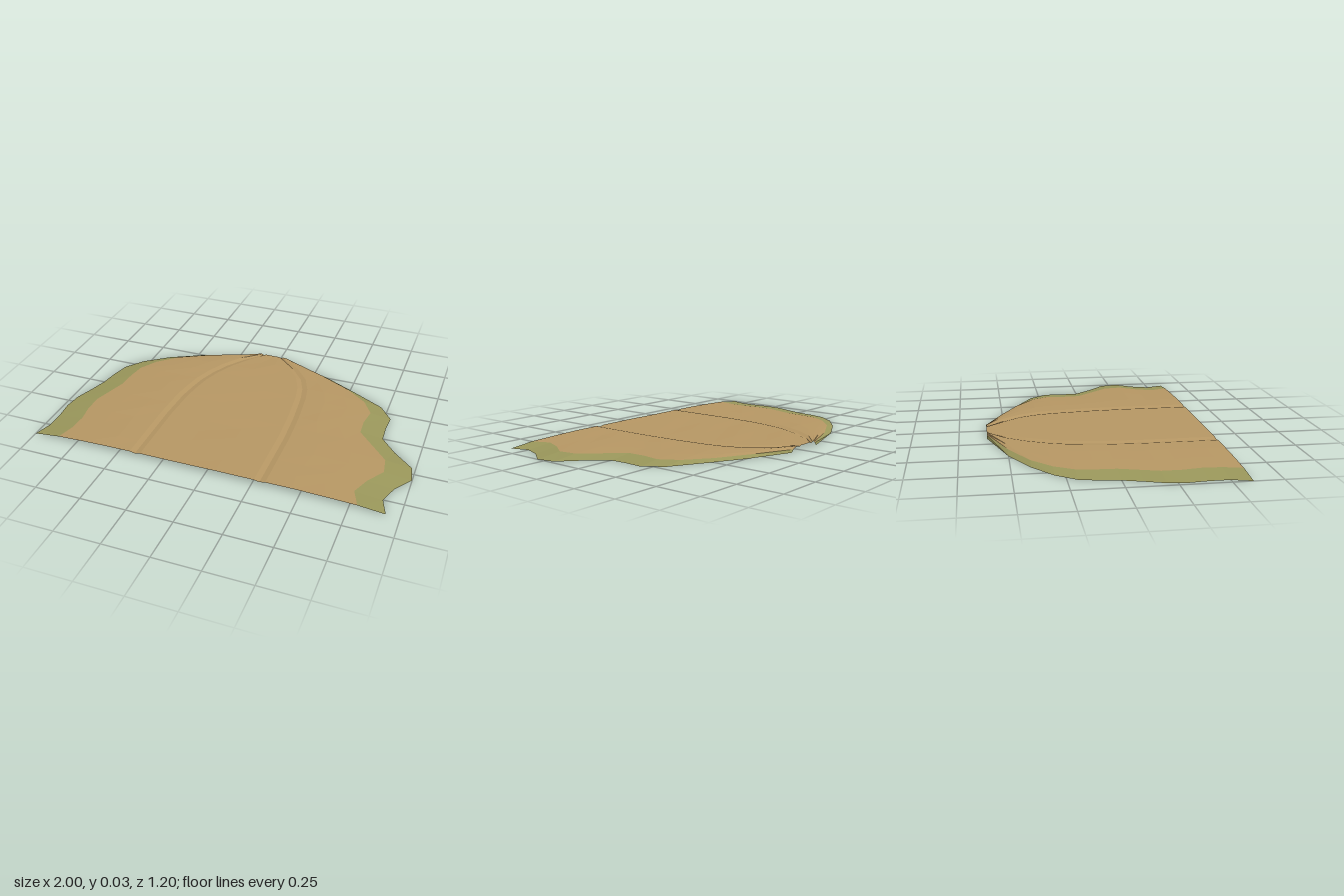
import * as THREE from 'three';

// Outline of the ground, one entry per row, from z = -0.6 to z = 0.6
const STEP = 0.1, START = -0.6;
const outerLeft = [-0.15, -0.47, -0.66, -0.79, -0.865, -0.89, -0.905, -0.935, -0.97, -0.98, -0.97, -0.97, -1];
const innerLeft = [-0.135, -0.4, -0.59, -0.7, -0.76, -0.775, -0.78, -0.81, -0.84, -0.84, -0.825, -0.83, -0.855];
const innerRight = [0.07, 0.29, 0.48, 0.61, 0.67, 0.655, 0.66, 0.75, 0.84, 0.855, 0.79, 0.75, 0.79];
const outerRight = [0.085, 0.34, 0.53, 0.71, 0.785, 0.78, 0.785, 0.87, 0.98, 1, 0.93, 0.895, 0.93];
// Centre lines of the two wheel ruts
const rutLeft = [-0.1, -0.2, -0.27, -0.32, -0.355, -0.375, -0.39, -0.395, -0.4, -0.4, -0.4, -0.4, -0.4];
const rutRight = [0.01, 0.12, 0.2, 0.24, 0.26, 0.27, 0.28, 0.285, 0.29, 0.29, 0.29, 0.29, 0.29];

const EDGE = 0.015;  // height where grass meets dirt
const TOP = 0.025;   // height of the dirt
const DIP = 0.019;   // height in the ruts

// Faceted open surface through rows of [x, y] points
function sheet(name, rows, material) {
  const positions = [], index = [], n = rows[0].length;
  rows.forEach((row, r) => row.forEach(([x, y]) => positions.push(x, y, START + r * STEP)));
  for (let r = 0; r < rows.length - 1; r++) {
    for (let c = 0; c < n - 1; c++) {
      const a = r * n + c, b = a + n;
      index.push(a, b, a + 1, a + 1, b, b + 1);
    }
  }
  const geometry = new THREE.BufferGeometry();
  geometry.setAttribute('position', new THREE.Float32BufferAttribute(positions, 3));
  geometry.setIndex(index);
  geometry.computeVertexNormals();
  const mesh = new THREE.Mesh(geometry, material);
  mesh.name = name;
  return mesh;
}

// Cross-section of the dirt: bank, rut, crown, rut, bank
function dirtRow(left, r) {
  const il = left, ir = innerRight[r], a = rutLeft[r], b = rutRight[r];
  const w = r === 0 ? 0.012 : 0.03;
  const bump = (k) => TOP + 0.0012 * Math.sin(r * 2.3 + k * 1.7);
  const mix = THREE.MathUtils.lerp;
  return [
    [il, EDGE],
    [mix(il, a - w, 0.35), 0.021],
    [mix(il, a - w, 0.7), bump(1)],
    [a - w, TOP], [a, DIP], [a + w, TOP],
    [mix(a + w, b - w, 0.33), bump(2)],
    [mix(a + w, b - w, 0.67), bump(3)],
    [b - w, TOP], [b, DIP], [b + w, TOP],
    [mix(ir, b + w, 0.7), bump(4)],
    [mix(ir, b + w, 0.35), 0.021],
    [ir, EDGE],
  ];
}

export function createModel() {
  const material = (name, color) => {
    const m = new THREE.MeshStandardMaterial({ color, flatShading: true, side: THREE.DoubleSide });
    m.name = name;
    return m;
  };
  const dirt = material('dirt', 0xb59663);
  const grass = material('grass', 0x99965a);

  const group = new THREE.Group();
  group.name = 'dirtTrack';
  group.add(
    sheet('track', innerLeft.map(dirtRow), dirt),
    sheet('rightVerge', outerLeft.map((x, r) => [[x, 0], [innerLeft[r], EDGE]]), grass),
    sheet('leftVerge', outerRight.map((x, r) => [[innerRight[r], EDGE], [x, 0]]), grass),
  );
  return group;
}
